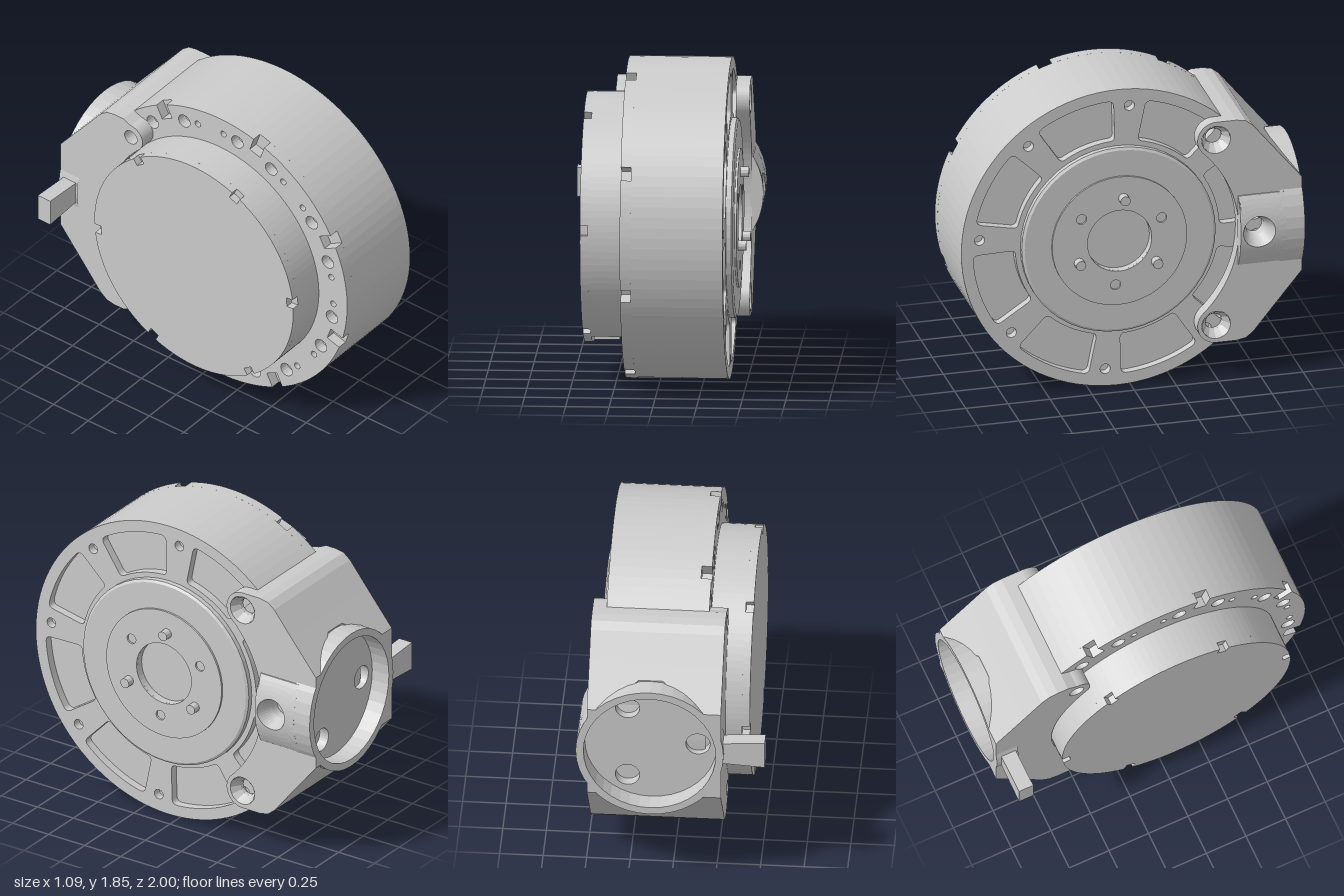
import * as THREE from 'three';
import { ParametricGeometry } from 'three/addons/geometries/ParametricGeometry.js';

const material = new THREE.MeshStandardMaterial({ color: 0xcccccc, flatShading: true, side: THREE.DoubleSide });
const rad = THREE.MathUtils.degToRad;
const polar = (r, deg) => [r * Math.cos(rad(deg)), r * Math.sin(rad(deg))];

export function createModel() {
  const model = new THREE.Group();
  const body = new THREE.Group(); // origin on the drum axis, which runs along x
  body.name = 'body';
  body.position.set(0, 0.925, 0.075);
  model.add(body);

  const add = (name, geometry, x = 0, y = 0, z = 0) => {
    const mesh = new THREE.Mesh(geometry, material);
    mesh.name = name;
    mesh.position.set(x, y, z);
    body.add(mesh);
    return mesh;
  };
  // Shapes are drawn in (u, v) = (-z, y) and extruded from x0 to x1
  const slab = (name, shape, x0, x1, curveSegments = 8) => {
    const g = new THREE.ExtrudeGeometry(shape, { depth: x1 - x0, bevelEnabled: false, curveSegments });
    return add(name, g.rotateY(Math.PI / 2), x0);
  };
  const lathe = (name, points, x = 0, y = 0, z = 0, segments = 48) =>
    add(name, new THREE.LatheGeometry(points.map(p => new THREE.Vector2(...p)), segments).rotateZ(-Math.PI / 2), x, y, z);
  const circle = (u, v, r) => new THREE.Path().absarc(u, v, r, 0, Math.PI * 2, false);
  const disc = r => new THREE.Shape().absarc(0, 0, r, 0, Math.PI * 2, false);

  // Circle with evenly spaced notches cut into the rim
  function notchedDisc(r, count, phase, width, depth) {
    const s = new THREE.Shape();
    const half = Math.asin(width / 2 / r);
    const step = Math.PI * 2 / count;
    for (let i = 0; i < count; i++) {
      const a = rad(phase) + i * step;
      const inner = Math.asin(width / 2 / (r - depth));
      for (const b of [a - inner, a + inner]) {
        const p = [(r - depth) * Math.cos(b), (r - depth) * Math.sin(b)];
        if (i === 0 && b < a) s.moveTo(...p); else s.lineTo(...p);
      }
      s.absarc(0, 0, r, a + half, a + step - half, false);
    }
    return s;
  }

  // Drum: notched rear ring, plain middle, pocketed front face
  const rear = notchedDisc(0.925, 8, 18, 0.08, 0.09);
  for (let i = 0; i < 8; i++) {
    for (const side of [-1, 1]) {
      rear.holes.push(circle(...polar(0.825, 18 + i * 45 + side * 9), 0.042));
      rear.holes.push(circle(...polar(0.825, 18 + i * 45 + side * 16), 0.02));
    }
  }
  slab('drumRear', rear, -0.19, -0.13);
  slab('drumMiddle', disc(0.925), -0.13, 0.35, 48);
  const face = disc(0.925);
  for (let i = 0; i < 8; i++) {
    const a = 40 + i * 45;
    face.holes.push(circle(...polar(0.82, a), 0.03));
    const pocket = new THREE.Path();
    pocket.moveTo(...polar(0.64, a + 6.5));
    pocket.lineTo(...polar(0.82, a + 6.5));
    pocket.quadraticCurveTo(...polar(0.855, a + 6.5), ...polar(0.855, a + 9));
    pocket.absarc(0, 0, 0.855, rad(a + 9), rad(a + 36), false);
    pocket.quadraticCurveTo(...polar(0.855, a + 38.5), ...polar(0.82, a + 38.5));
    pocket.lineTo(...polar(0.64, a + 38.5));
    pocket.quadraticCurveTo(...polar(0.605, a + 38.5), ...polar(0.605, a + 36));
    pocket.absarc(0, 0, 0.605, rad(a + 36), rad(a + 9), true);
    pocket.quadraticCurveTo(...polar(0.605, a + 6.5), ...polar(0.64, a + 6.5));
    face.holes.push(pocket);
  }
  slab('drumFace', face, 0.35, 0.4, 48);

  // Rear cover with a notched cap and a flat underneath
  slab('rearCap', notchedDisc(0.72, 6, 55, 0.06, 0.045), -0.43, -0.385);
  const flat = Math.asin(0.635 / 0.72);
  slab('rearCover', new THREE.Shape().absarc(0, 0, 0.72, -flat, Math.PI + flat, false), -0.385, -0.19, 48);
  add('connector', new THREE.BoxGeometry(0.15, 0.07, 0.3), -0.305, -0.655, 0);

  // Output hub: stepped disc, bored flange, alternating pins and holes
  lathe('hub', [[0.575, 0.35], [0.575, 0.43], [0.56, 0.44], [0.19, 0.44], [0.19, 0.4], [0.135, 0.4], [0.135, 0.38], [0, 0.38]]);
  const flange = disc(0.4);
  flange.holes.push(circle(0, 0, 0.19));
  for (let i = 0; i < 3; i++) {
    flange.holes.push(circle(...polar(0.275, 25 + i * 120), 0.03));
    const [u, v] = polar(0.265, 85 + i * 120);
    add('hubPin', new THREE.CylinderGeometry(0.03, 0.03, 0.08, 12).rotateZ(Math.PI / 2), 0.46, v, -u);
  }
  slab('hubFlange', flange, 0.435, 0.452, 48);

  // Bracket outline: two rounded lobes around a concave arc, sloping to the back
  const lobe = { u: 0.565, v: 0.58 };
  const lobeDist = Math.hypot(lobe.u, lobe.v);
  const lobeAngle = Math.atan2(lobe.v, lobe.u);
  function bracketShape(r, holeRadius) {
    const s = new THREE.Shape();
    const outer = [[0.62, 0.69], [0.685, 0.69], [0.74, 0.68], [0.785, 0.645], [0.9, 0.503]];
    s.absarc(0, 0, lobeDist - r, -lobeAngle, lobeAngle, false);
    s.absarc(lobe.u, lobe.v, r, lobeAngle + Math.PI, Math.PI / 2, true);
    outer.forEach(p => s.lineTo(...p));
    outer.reverse().forEach(([u, v]) => s.lineTo(u, -v));
    s.absarc(lobe.u, -lobe.v, r, -Math.PI / 2, -Math.PI - lobeAngle, true);
    for (const side of [-1, 1]) s.holes.push(circle(lobe.u, side * lobe.v, holeRadius));
    return s;
  }
  const frontPlate = bracketShape(0.11, 0.085);
  frontPlate.holes.push(circle(0.805, 0, 0.1));
  slab('bracketFrontPlate', frontPlate, 0.4, 0.48, 14);
  slab('bracketRearPlate', bracketShape(0.085, 0.045), -0.29, -0.19, 14);
  const core = new THREE.Shape();
  const coreAngle = Math.asin(0.69 / 0.9);
  core.absarc(0, 0, 0.9, -coreAngle, coreAngle, false);
  [[0.685, 0.69], [0.74, 0.68], [0.785, 0.645], [0.9, 0.503], [0.9, -0.503], [0.785, -0.645], [0.74, -0.68], [0.685, -0.69]]
    .forEach(p => core.lineTo(...p));
  slab('bracketCore', core, -0.19, 0.4, 24);
  for (const side of [-1, 1]) {
    lathe('countersink', [[0.085, 0.48], [0.05, 0.425], [0.05, 0.401]], 0, side * lobe.v, -lobe.u, 12);
  }

  // Back socket: sloped floor with three holes, round rim, four sloped corners
  const cx = 0.12, left = -0.29, right = 0.48;
  const extrudeBack = (shape, depth, rule) => {
    const g = new THREE.ExtrudeGeometry(shape, { depth, bevelEnabled: false, curveSegments: 16 });
    const p = g.attributes.position;
    for (let i = 0; i < p.count; i++) if (p.getZ(i) < 1e-4) rule(p, i);
    g.computeVertexNormals();
    return g;
  };
  const floor = new THREE.Shape([[left, -0.503], [right, -0.503], [right, 0.503], [left, 0.503]].map(p => new THREE.Vector2(...p)));
  for (const a of [60, 180, 300]) {
    const [u, v] = polar(0.27, a);
    floor.holes.push(circle(cx + u, v, 0.07));
  }
  add('socketFloor', extrudeBack(floor, 0.06, (p, i) => {
    if (Math.abs(p.getY(i)) > 0.45) p.setY(i, Math.sign(p.getY(i)) * 0.43);
  }), 0, 0, -0.96);
  const rim = [[0.425, -0.02], [0.425, 0.115], [0.38, 0.115], [0.38, -0.02]].map(p => new THREE.Vector2(...p));
  add('socketRim', new THREE.LatheGeometry(rim, 40).rotateX(-Math.PI / 2), cx, 0, -0.96);
  for (const sx of [-1, 1]) for (const sy of [-1, 1]) {
    const reach = sx > 0 ? right - cx : cx - left;
    const start = Math.acos(Math.min(1, reach / 0.4));
    const pts = [];
    for (let i = 0; i <= 10; i++) {
      const a = start + (rad(80) - start) * i / 10;
      pts.push(new THREE.Vector2(sx * 0.4 * Math.cos(a), sy * 0.4 * Math.sin(a)));
    }
    pts.push(new THREE.Vector2(sx * 0.07, sy * 0.43), new THREE.Vector2(sx * reach, sy * 0.43));
    if (start === 0) pts.push(new THREE.Vector2(sx * reach, 0));
    add('socketCorner', extrudeBack(new THREE.Shape(pts), 0.115, (p, i) => {
      p.setX(i, sx * Math.max(Math.abs(p.getX(i)), 0.275));
      p.setY(i, sy * Math.min(Math.abs(p.getY(i)), 0.29));
    }), cx, 0, -1.075);
  }

  // Curved bulge on the front plate, with a countersunk screw hole
  const bulge = (s, t, out) => {
    const row = Math.round(s * 8);
    const c = Math.cos(t * Math.PI * 2), n = Math.sin(t * Math.PI * 2);
    const k = 1 / Math.max(Math.abs(c), Math.abs(n));
    const f = THREE.MathUtils.clamp((row - 2) / 5, 0, 1);
    const r = row === 0 ? 0.05 : row === 1 ? 0.055 : 0.095;
    const du = THREE.MathUtils.lerp(r * c, c * k * (c > 0 ? 0.16 : 0.11), f);
    const v = THREE.MathUtils.lerp(r * n, n * k * 0.215, f);
    const top = cx + Math.sqrt(0.425 ** 2 - v * v);
    const x = row === 0 ? 0.402 : row === 1 ? 0.45 : row === 8 ? 0.47 : top;
    out.set(x, v, -(0.805 + du));
  };
  add('plateBulge', new ParametricGeometry(bulge, 8, 32));

  // Side tab, slightly flared at its outer end
  const tab = new THREE.BoxGeometry(0.26, 0.17, 0.09);
  const tp = tab.attributes.position;
  for (let i = 0; i < tp.count; i++) if (tp.getX(i) > 0) tp.setY(i, tp.getY(i) * 0.8);
  tab.computeVertexNormals();
  add('sideTab', tab, -0.41, 0, -1.0);

  return model;
}
